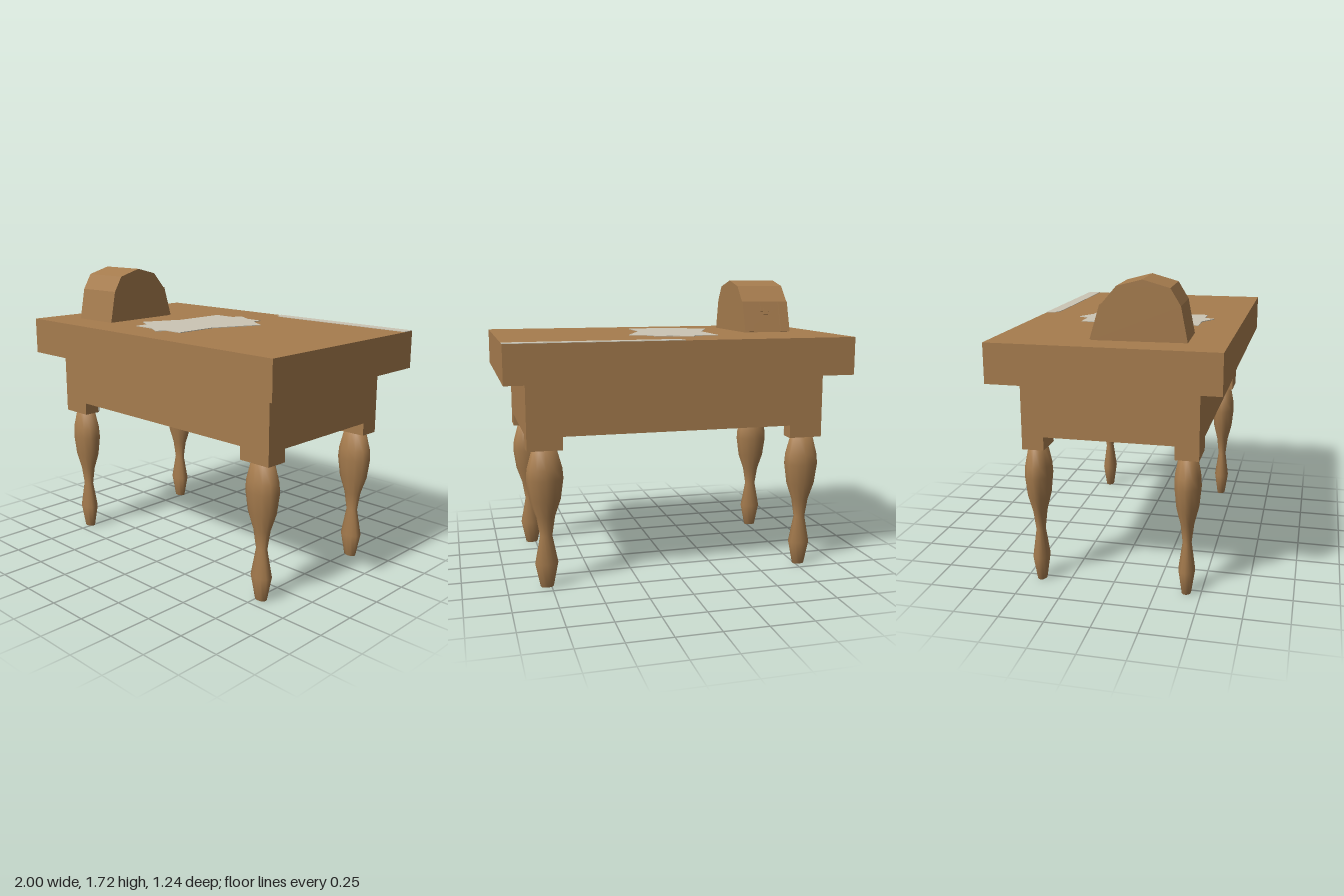
import * as THREE from 'three';

export function createModel() {
  const root = new THREE.Group();
  root.name = 'writingTable';
  const wood = new THREE.MeshStandardMaterial({ name: 'wood', color: 0xa67c4e });
  const paper = new THREE.MeshStandardMaterial({ name: 'paper', color: 0xcbc5b4 });

  const add = (name, geometry, material, parent = root) => {
    const mesh = new THREE.Mesh(geometry, material);
    mesh.name = name;
    parent.add(mesh);
    return mesh;
  };
  // Box given by its lower and upper corners
  const box = (name, a, b, material, parent) => {
    const m = add(name, new THREE.BoxGeometry(b[0] - a[0], b[1] - a[1], b[2] - a[2]), material, parent);
    m.position.set((a[0] + b[0]) / 2, (a[1] + b[1]) / 2, (a[2] + b[2]) / 2);
    return m;
  };
  // Upright prism from an outline of [x, z] points
  const slab = (name, points, y, height, material, parent) => {
    const shape = new THREE.Shape(points.map(([x, z]) => new THREE.Vector2(x, -z)));
    const g = new THREE.ExtrudeGeometry(shape, { depth: height, bevelEnabled: false });
    g.rotateX(-Math.PI / 2);
    const m = add(name, g, material, parent);
    m.position.y = y;
    return m;
  };

  // Table top and apron
  const TOP = 1.403;
  box('tableTop', [-1, 1.185, -0.618], [1, TOP, 0.618], wood);
  box('apron', [-0.875, 0.875, -0.473], [0.875, 1.185, 0.49], wood);

  // Turned legs, narrower in depth than in width, under chamfered corner blocks
  const profile = [[0, 0], [0.037, 0], [0.066, 0.14], [0.035, 0.3], [0.053, 0.41],
    [0.088, 0.51], [0.105, 0.63], [0.1, 0.69], [0.07, 0.8], [0, 0.8]];
  const legGeometry = new THREE.LatheGeometry(profile.map(([r, y]) => new THREE.Vector2(r, y)), 12);
  const c = 0.033;
  for (const sx of [-1, 1]) {
    for (const sz of [-1, 1]) {
      const corner = new THREE.Group();
      corner.name = (sz > 0 ? 'front' : 'back') + (sx > 0 ? 'Left' : 'Right') + 'Leg';
      root.add(corner);
      const leg = add('turnedLeg', legGeometry, wood, corner);
      leg.position.set(sx * 0.774, 0, sz * 0.418);
      leg.scale.z = 0.71;

      const xo = sx * 0.875, xi = sx * 0.675;
      const zo = sz > 0 ? 0.49 : -0.473, zi = sz > 0 ? 0.36 : -0.352;
      slab('cornerBlock', [[xo, zo], [xi, zo], [xi, zi + sz * c], [xi + sx * c, zi], [xo, zi]],
        0.8, 0.075, wood, corner);
      const face = add('paleChamfer', new THREE.BoxGeometry(c * 1.4, 0.074, 0.004), paper, corner);
      face.position.set(xi + sx * c / 2, 0.8375, zi + sz * c / 2);
      face.rotation.y = Math.atan2(-sx, -sz);
    }
  }

  // Two crossed sheets of paper as one outline
  slab('paperSheets', [[-0.275, -0.305], [-0.135, -0.305], [-0.11, -0.365], [0, -0.305],
    [0.105, -0.305], [0.105, -0.24], [0.23, -0.165], [0.105, 0.125], [0.105, 0.385],
    [-0.01, 0.385], [-0.035, 0.445], [-0.14, 0.385], [-0.275, 0.385], [-0.275, 0.305],
    [-0.375, 0.25], [-0.275, 0.02]], TOP, 0.004, paper);

  // Pale strip along the back edge
  slab('edgeStrip', [[0.015, -0.618], [1, -0.618], [1, -0.543], [0.13, -0.543],
    [0.045, -0.548], [0.025, -0.565]], TOP, 0.003, paper);

  // Round-topped chest, turned slightly on the table
  const chest = new THREE.Group();
  chest.name = 'chest';
  chest.position.set(-0.66, TOP, 0.15);
  chest.rotation.y = 0.035;
  root.add(chest);
  const W = 0.3;
  const side = [[0.255, 0], [0.218, 0.187], [0.163, 0.277], [0.02, 0.317],
    [-0.115, 0.282], [-0.195, 0.187], [-0.25, 0]];
  const body = new THREE.ExtrudeGeometry(
    new THREE.Shape(side.map(([z, y]) => new THREE.Vector2(-z, y))),
    { depth: W, bevelEnabled: false });
  body.translate(0, 0, -W / 2);
  body.rotateY(Math.PI / 2);
  add('chestBody', body, wood, chest);

  // Straps and latch lying on the sloped back of the chest
  const back = new THREE.Group();
  back.name = 'chestBackFittings';
  back.position.set(0, 0.0935, -0.2225);
  back.rotation.x = Math.atan2(0.055, 0.187);
  chest.add(back);
  for (const s of [-1, 1]) {
    const strap = box('strap', [-0.03, -0.095, -0.008], [0.03, 0.095, 0.001], wood, back);
    strap.position.x = s * 0.12;
  }
  box('latchPlate', [-0.033, 0.035, -0.006], [0.033, 0.095, 0.001], wood, back);
  box('latchTongue', [-0.015, 0.015, -0.009], [0.015, 0.05, 0], wood, back);

  return root;
}
